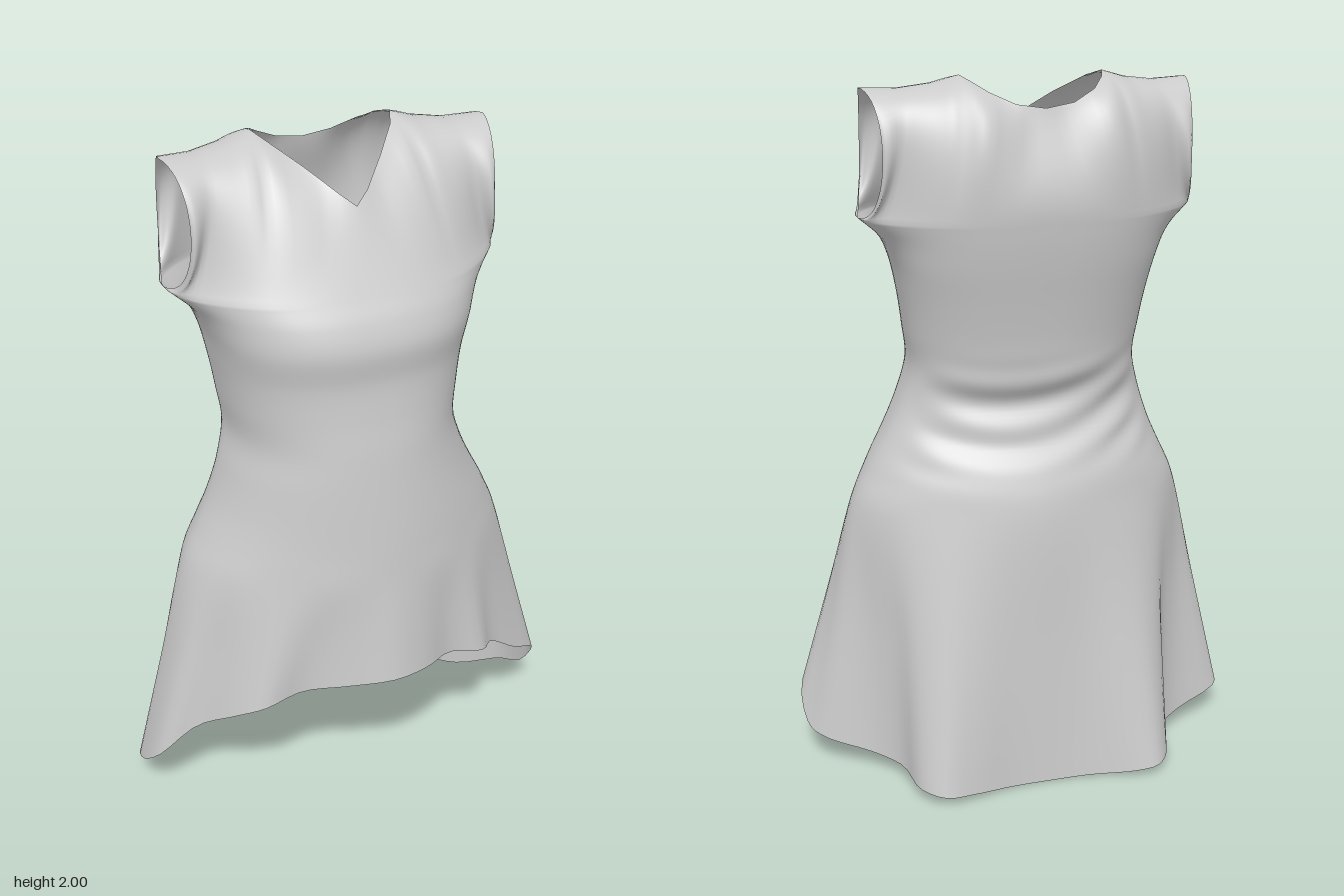
import * as THREE from 'three';
import { mergeGeometries, mergeVertices } from 'three/addons/utils/BufferGeometryUtils.js';

const { smoothstep } = THREE.MathUtils;
const V = (a) => new THREE.Vector3(...a);

// Body cross-sections, top down:
// height, half width, front z, back z, side z, roundness, underarm flare
const SECTIONS = [
  [1.63, 0.405, 0.255, -0.28, -0.04, 0.78, 0.067],
  [1.57, 0.386, 0.288, -0.272, -0.035, 0.78, 0.022],
  [1.5, 0.374, 0.308, -0.26, -0.03, 0.8, 0],
  [1.4, 0.352, 0.3, -0.24, -0.02, 0.83, 0],
  [1.3, 0.338, 0.308, -0.222, -0.01, 0.87, 0],
  [1.2, 0.328, 0.322, -0.208, 0, 0.9, 0],
  [1.1, 0.355, 0.333, -0.183, 0.01, 0.95, 0],
  [1.0, 0.395, 0.343, -0.215, 0.01, 1, 0],
  [0.9, 0.445, 0.352, -0.265, 0.01, 1.06, 0],
  [0.8, 0.49, 0.36, -0.288, 0.01, 1.1, 0],
];

// Wavy hem, from the front centre round by the left side and the back
const HEM = new THREE.CatmullRomCurve3([
  [0, 0.495, 0.395], [0.12, 0.485, 0.365], [0.22, 0.47, 0.31], [0.33, 0.445, 0.312], [0.4, 0.41, 0.24],
  [0.52, 0.31, 0.18], [0.64, 0.22, 0.1], [0.64, 0.11, 0.02], [0.6, 0.09, -0.04], [0.48, 0.06, -0.11],
  [0.41, 0.05, -0.2], [0.39, 0.04, -0.32], [0.33, 0.03, -0.375], [0.24, 0.02, -0.365], [0.12, 0.005, -0.335],
  [0, 0, -0.33], [-0.12, 0.005, -0.345], [-0.24, 0.02, -0.39], [-0.31, 0.03, -0.395], [-0.36, 0.04, -0.34],
  [-0.39, 0.05, -0.22], [-0.48, 0.06, -0.15], [-0.63, 0.09, -0.085], [-0.645, 0.11, -0.02], [-0.62, 0.2, 0.09],
  [-0.52, 0.31, 0.14], [-0.43, 0.4, 0.25], [-0.36, 0.44, 0.3], [-0.25, 0.465, 0.3], [-0.13, 0.485, 0.355],
].map(V), true);

// Top edges from the centre outwards: s, x, y, z
const SHOULDER = [[0.4, 0.2, 2, -0.085], [0.56, 0.27, 1.98, -0.07], [0.76, 0.36, 1.968, -0.055], [1, 0.462, 1.972, -0.045]];
const FRONT_TOP = [
  [0, 0, 1.84, 0.145], [0.08, 0.04, 1.872, 0.122], [0.2, 0.11, 1.932, 0.05], [0.32, 0.175, 1.982, -0.03], ...SHOULDER,
];
const BACK_TOP = [
  [0, 0, 1.92, -0.21], [0.16, 0.08, 1.932, -0.204], [0.28, 0.145, 1.962, -0.178], [0.36, 0.183, 1.988, -0.13], ...SHOULDER,
];

// Point of an oval section; angle 0 is the front, 90 degrees the left
function sectionPoint([y, w, front, back, side, roundness, flare], angle) {
  const power = (n) => Math.sign(n) * Math.abs(n) ** roundness;
  const c = power(Math.cos(angle));
  const sin = Math.sin(angle);
  const reach = c > 0 ? front - side : side - back;
  return new THREE.Vector3(w * power(sin) + flare * Math.sign(sin) * sin ** 8, y, side + reach * c);
}

function topPoint(edge, s) {
  const a = Math.abs(s);
  const k = Math.max(1, edge.findIndex((p) => p[0] >= a - 1e-6));
  const [p, q] = [edge[k - 1], edge[k]];
  const point = V(p.slice(1)).lerp(V(q.slice(1)), (a - p[0]) / (q[0] - p[0]));
  point.x *= Math.sign(s);
  return point;
}

// Draped creases across the back of the waist and a slight lean of the bodice
function drape(p) {
  const back = smoothstep(-p.z, 0.05, 0.17);
  const zone = smoothstep(p.y, 0.88, 1.02) * (1 - smoothstep(p.y, 1.12, 1.27));
  p.z += 0.008 * back * zone * Math.sin((p.y - 0.9 * p.x * p.x + 0.15 * p.x) * 52);
  p.x -= 0.014 * smoothstep(p.y, 0.9, 1.15);
  return p;
}

// Grid surface from columns of points running downwards
function gridGeometry(columns) {
  const rows = columns[0].length;
  const positions = columns.flatMap((column) => column.flatMap((p) => drape(p).toArray()));
  const index = [];
  for (let i = 0; i < columns.length - 1; i++) {
    for (let j = 0; j < rows - 1; j++) {
      const a = i * rows + j, c = a + rows;
      index.push(a, a + 1, c + 1, a, c + 1, c);
    }
  }
  const geometry = new THREE.BufferGeometry();
  geometry.setAttribute('position', new THREE.Float32BufferAttribute(positions, 3));
  geometry.setIndex(index);
  return geometry;
}

const range = (n, f) => Array.from({ length: n + 1 }, (_, i) => f(i / n));

// Closed body from the underarm down to the hem
function bodyGeometry() {
  return gridGeometry(range(100, (u) => {
    const angle = u * Math.PI * 2;
    const points = SECTIONS.map((section) => sectionPoint(section, angle));
    const hem = HEM.getPoint(u % 1);
    points.push(points.at(-1).clone().lerp(hem, 0.5), hem);
    return new THREE.CatmullRomCurve3(points).getPoints(88);
  }));
}

// Upper panel between the armholes; each column leaves the body along its slope
// and rolls over the shoulder, or runs straight to the neckline at the centre
function yokeGeometry(start, edge) {
  const facing = Math.cos(start);
  return gridGeometry(range(50, (u) => {
    const s = Math.round((u * 2 - 1) * 100) / 100;
    const a = Math.abs(s);
    const angle = start + s * Math.PI / 2;
    const bottom = sectionPoint(SECTIONS[0], angle);
    const below = sectionPoint(SECTIONS[1], angle);
    const top = topPoint(edge, facing * s);
    const chord = top.clone().sub(bottom);

    const slope = (bottom.z - below.z) / (bottom.y - below.y);
    const leave = new THREE.Vector3(chord.x, 0.35, 0.35 * slope)
      .lerp(new THREE.Vector3(chord.x, 0, 0.53 * facing), smoothstep(a, 0.75, 1));
    const arrive = chord.clone()
      .lerp(new THREE.Vector3(chord.x, 0.02, -0.56 * facing), smoothstep(a, 0.05, 0.5));
    const curve = new THREE.CubicBezierCurve3(
      bottom, bottom.clone().addScaledVector(leave, 1 / 3), top.clone().addScaledVector(arrive, -1 / 3), top);

    return range(24, (t) => {
      const p = curve.getPoint(1 - t);
      p.x -= Math.sign(p.x) * 0.14 * t * (1 - t) * a * a;
      return p;
    });
  }));
}

export function createModel() {
  const model = new THREE.Group();
  model.name = 'dress';
  const material = new THREE.MeshStandardMaterial({ color: 0xcccccc, side: THREE.DoubleSide });

  const parts = [
    ['bodiceAndSkirt', bodyGeometry()],
    ['frontYoke', yokeGeometry(0, FRONT_TOP)],
    ['backYoke', yokeGeometry(Math.PI, BACK_TOP)],
  ];

  // Weld the seams so that the cloth shades smoothly across the parts
  const cloth = mergeVertices(mergeGeometries(parts.map((part) => part[1])), 1e-4);
  cloth.computeVertexNormals();
  let offset = 0;
  for (const [name, source] of parts) {
    const count = source.index.count;
    const geometry = new THREE.BufferGeometry();
    geometry.setAttribute('position', cloth.attributes.position);
    geometry.setAttribute('normal', cloth.attributes.normal);
    geometry.setIndex(Array.from(cloth.index.array.slice(offset, offset + count)));
    offset += count;
    const mesh = new THREE.Mesh(geometry, material);
    mesh.name = name;
    model.add(mesh);
  }
  return model;
}
